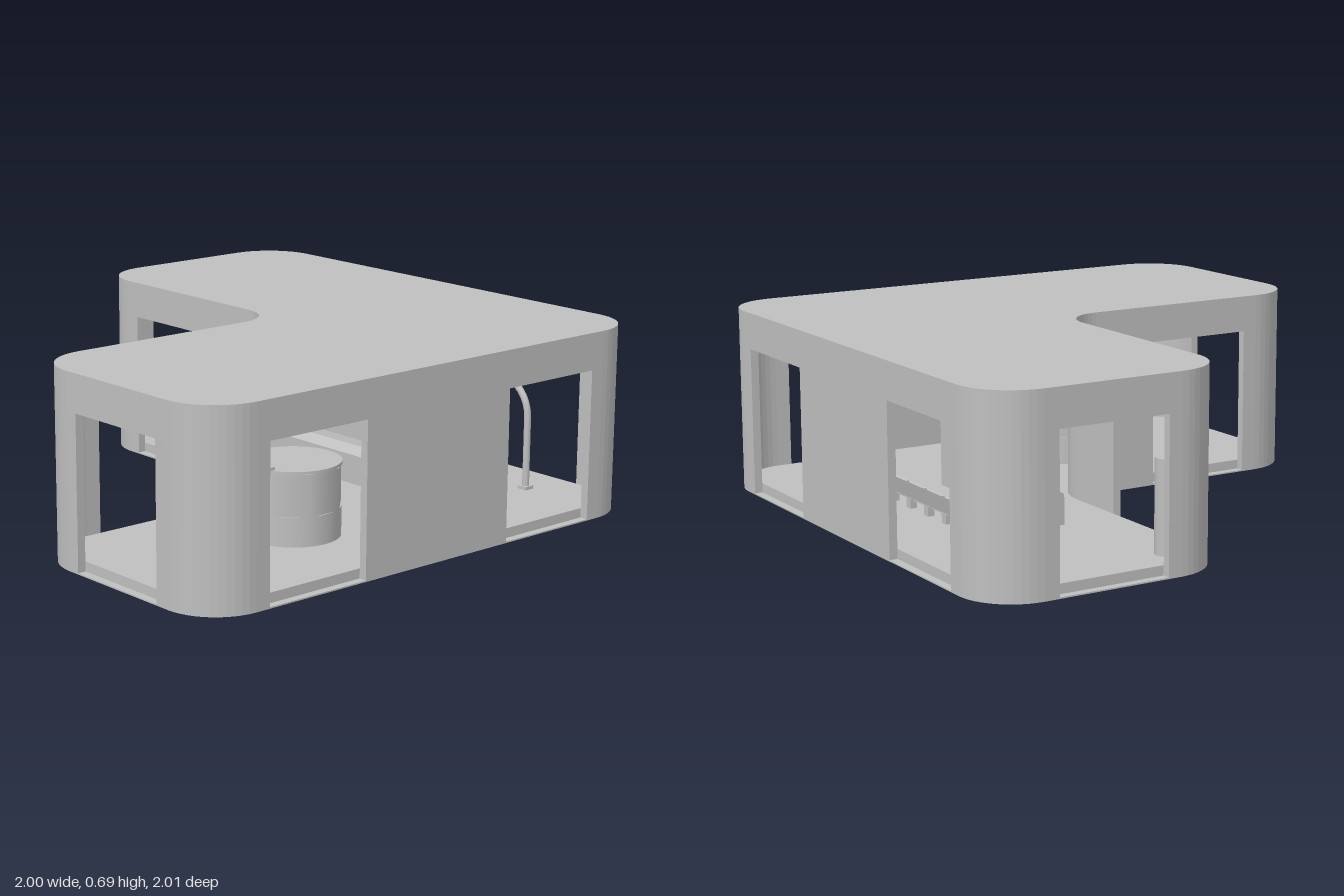
import * as THREE from 'three';

export function createModel() {
  const model = new THREE.Group();
  const grey = new THREE.MeshStandardMaterial({ color: 0xbfbfbf });
  grey.name = 'plain grey';
  const Q = Math.PI / 2, WALL = 0.03, FLOOR = 0.04, CEIL = 0.55, TOP = 0.685;

  const add = (name, geo, x = 0, y = 0, z = 0, parent = model) => {
    const m = new THREE.Mesh(geo, grey);
    m.name = name;
    m.position.set(x, y, z);
    parent.add(m);
    return m;
  };
  const box = (name, w, h, d, x, y, z, parent) => add(name, new THREE.BoxGeometry(w, h, d), x, y, z, parent);

  // Plan points are (x, z); extruded upwards from y0 to y1
  const extrudePlan = (name, pts, y0, y1) => {
    const shape = new THREE.Shape(pts.map(([x, z]) => new THREE.Vector2(x, -z)));
    const geo = new THREE.ExtrudeGeometry(shape, { depth: y1 - y0, bevelEnabled: false });
    return add(name, geo.rotateX(-Q), 0, y0, 0);
  };

  // Corners of the L plan: centre x, centre z, radius, start angle, direction, straight run before and after
  const corners = [
    [-0.8, -0.8, 0.2, 2 * Q, 1, 0.055, 0.05],
    [0.8, -0.8, 0.2, 3 * Q, 1, 0.055, 0.055],
    [0.8, 0.8, 0.2, 0, 1, 0.055, 0.055],
    [0.28, 0.8, 0.205, Q, 1, 0.05, 0.055],
    [-0.08, 0.075, 0.155, 0, -1, 0.255, 0.25],
    [-0.8, -0.28, 0.2, Q, 1, 0.05, 0.05],
  ];
  const cornerPath = ([cx, cz, r, a, dir, before, after], inset, ends) => {
    const R = r - dir * inset, pts = [];
    for (let i = 0; i <= 12; i++) {
      const t = a + dir * Q * i / 12;
      pts.push([cx + R * Math.cos(t), cz + R * Math.sin(t)]);
    }
    if (ends) {
      const b = a + dir * Q, [p, q] = [pts[0], pts[12]];
      pts.unshift([p[0] + dir * Math.sin(a) * before, p[1] - dir * Math.cos(a) * before]);
      pts.push([q[0] - dir * Math.sin(b) * after, q[1] + dir * Math.cos(b) * after]);
    }
    return pts;
  };
  const plan = inset => corners.flatMap(c => cornerPath(c, inset, false));

  // Slabs
  extrudePlan('basePlate', plan(0), 0, 0.005);
  extrudePlan('floor', plan(WALL), 0.005, FLOOR);
  extrudePlan('roof', plan(0), CEIL, TOP);

  // Curved corner walls and the two flat walls between doorways
  for (const c of corners) {
    extrudePlan('cornerWall', [...cornerPath(c, 0, true), ...cornerPath(c, WALL, true).reverse()], 0.005, CEIL);
  }
  const wallH = CEIL - 0.005, wallY = (CEIL + 0.005) / 2;
  box('backWall', 0.66, wallH, WALL, 0, wallY, -1 + WALL / 2);
  box('sideWall', WALL, wallH, 0.66, 1 - WALL / 2, wallY, 0);

  // Round reception counter with an octagonal panelled body
  const counter = new THREE.Group();
  counter.name = 'receptionCounter';
  counter.position.set(0.535, 0, 0.24);
  model.add(counter);
  add('counterBase', new THREE.CylinderGeometry(0.166, 0.166, 0.105, 40), 0, 0.0925, 0, counter);
  const oct = (r, h) => new THREE.CylinderGeometry(r, r, h, 8).rotateY(Math.PI / 8);
  add('counterBody', oct(0.174, 0.15), 0, 0.22, 0, counter);
  add('counterTop', new THREE.CylinderGeometry(0.168, 0.168, 0.012, 40), 0, 0.299, 0, counter);
  box('counterLedge', 0.13, 0.01, 0.02, 0, 0.31, 0.15, counter);

  // Tubular entrance arch
  const archPath = new THREE.CurvePath();
  const V = (x, y) => new THREE.Vector3(x, y, 0);
  const archPts = [V(0.133, 0.04), V(0.133, 0.18)];
  for (let i = 0; i <= 16; i++) {
    archPts.push(V(0.133 * Math.cos(Math.PI * i / 16), 0.31 + 0.133 * Math.sin(Math.PI * i / 16)));
  }
  archPts.push(V(-0.133, 0.18), V(-0.133, 0.04));
  for (let i = 1; i < archPts.length; i++) archPath.add(new THREE.LineCurve3(archPts[i - 1], archPts[i]));
  add('entranceArch', new THREE.TubeGeometry(archPath, 120, 0.013, 12), 0.535, 0, -0.78);
  for (const s of [-1, 1]) box('archFoot', 0.04, 0.012, 0.04, 0.535 + s * 0.133, 0.046, -0.78);

  // Central partition with cap and a sloped desk on its front
  box('partition', 0.73, 0.32, 0.035, 0, 0.2, -0.402);
  box('partitionCap', 0.75, 0.03, 0.042, 0, 0.375, -0.402);
  const desk = new THREE.Shape([[0, 0.04], [0.05, 0.04], [0.05, 0.15], [0.01, 0.175], [0.005, 0.195], [0, 0.195]]
    .map(p => new THREE.Vector2(...p)));
  const deskGeo = new THREE.ExtrudeGeometry(desk, { depth: 0.73, bevelEnabled: false }).rotateY(-Q);
  add('partitionDesk', deskGeo, 0.365, 0, -0.386);

  // Row of waiting seats facing the partition
  for (let i = 0; i < 5; i++) {
    const seat = new THREE.Group();
    seat.name = 'waitingSeat';
    seat.position.set(-0.26 + i * 0.13, 0, -0.67);
    box('seatLeg', 0.03, 0.05, 0.025, 0, 0.065, 0, seat);
    box('seatPad', 0.115, 0.016, 0.06, 0, 0.093, 0, seat);
    box('seatBack', 0.115, 0.065, 0.01, 0, 0.125, -0.037, seat).rotation.x = -0.25;
    model.add(seat);
  }

  // Ceiling rings, hanging lamp and light strips
  for (const [x, z] of [[0, -0.56], [0.535, 0.68]]) {
    add('ceilingRing', new THREE.TorusGeometry(0.195, 0.008, 6, 40).rotateX(Q), x, CEIL - 0.002, z);
    add('ceilingDish', new THREE.CylinderGeometry(0.19, 0.17, 0.006, 40), x, CEIL - 0.002, z);
  }
  add('hangingLamp', new THREE.SphereGeometry(0.04, 20, 10).scale(1, 0.2, 1), 0, 0.455, -0.575);
  for (const [x, z] of [[-0.72, -0.72], [-0.72, -0.34], [0.8, -0.3], [0.8, -0.72]]) {
    box('lightStrip', 0.14, 0.008, 0.02, x, CEIL - 0.004, z);
  }

  // Information post beside the end doorway
  add('cornerPost', new THREE.CylinderGeometry(0.045, 0.045, 0.33, 24), -0.86, 0.205, -0.24);
  return model;
}
